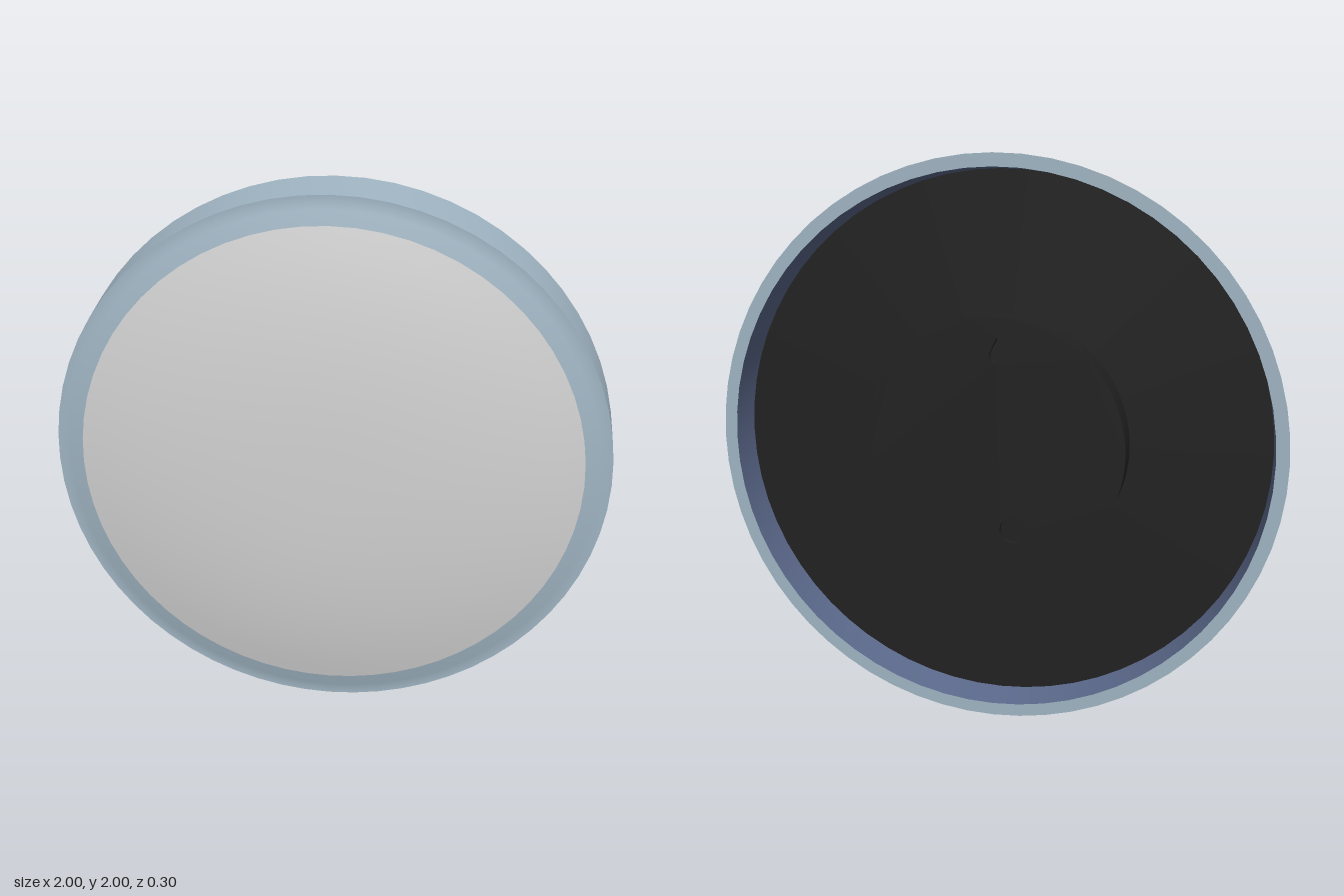
import * as THREE from 'three';
import { toCreasedNormals } from 'three/addons/utils/BufferGeometryUtils.js';

const mat = (name, color) => Object.assign(new THREE.MeshStandardMaterial({ color }), { name });

export function createModel() {
  const group = new THREE.Group();
  const rimMat = mat('rimBlueGrey', 0xa0b5c3);
  const faceMat = mat('faceGrey', 0xd2d2d2);
  const innerMat = mat('innerWallBlue', 0x5d6b8e);
  const backMat = mat('backBlack', 0x212121);

  const add = (name, geometry, material, x = 0, y = 1, z = 0) => {
    const mesh = new THREE.Mesh(geometry, material);
    mesh.name = name;
    mesh.position.set(x, y, z);
    group.add(mesh);
    return mesh;
  };
  // Surface of revolution about z from [radius, z] pairs
  const turned = (pairs) => {
    const g = new THREE.LatheGeometry(pairs.map(([r, z]) => new THREE.Vector2(r, z)), 64);
    return toCreasedNormals(g.rotateX(Math.PI / 2), 0.5);
  };
  const domeZ = (r) => 0.145 - 0.1 * Math.pow(r / 0.965, 2.5);

  // Tapered rim: back lip, outer side, small front step and start of the dome
  add('rim', turned([
    [0.955, -0.15], [1, -0.15], [0.985, 0.045], [0.965, 0.045],
    [0.94, domeZ(0.94)], [0.915, domeZ(0.915)], [0.89, domeZ(0.89)],
  ]), rimMat);

  // Domed front face
  const dome = [];
  for (let i = 0; i <= 14; i++) {
    const r = 0.89 * (1 - i / 14);
    dome.push([r, domeZ(r)]);
  }
  add('frontFace', turned(dome), faceMat);

  // Hollow back
  add('innerWall', turned([[0.95, -0.015], [0.955, -0.15]]), innerMat);
  add('backPlate', turned([[0, -0.015], [0.95, -0.015]]), backMat);

  // Round mount: solid base and a cap with a hanging hole and a screw recess
  add('mountBase', turned([[0, -0.115], [0.46, -0.115], [0.46, -0.015]]), backMat);
  const cap = new THREE.Shape().absarc(0, 0, 0.46, 0, Math.PI * 2);
  const hook = new THREE.Path();
  hook.moveTo(-0.012, 0.39);
  hook.lineTo(-0.04, 0.34);
  hook.absarc(-0.012, 0.332, 0.028, Math.PI, Math.PI * 2, false);
  hook.lineTo(-0.012, 0.39);
  const recess = new THREE.Path().absarc(-0.07, -0.29, 0.048, 0, Math.PI * 2, true);
  cap.holes.push(hook, recess);
  const capGeo = new THREE.ExtrudeGeometry(cap, { depth: 0.025, bevelEnabled: false, curveSegments: 64 });
  add('mountCap', toCreasedNormals(capGeo, 0.5), backMat, 0, 1, -0.14);

  // Slotted adjuster bar in the recess
  const bar = add('adjusterBar', new THREE.BoxGeometry(0.09, 0.016, 0.025), backMat, -0.07, 0.71, -0.127);
  bar.rotation.z = -0.6;

  return group;
}
